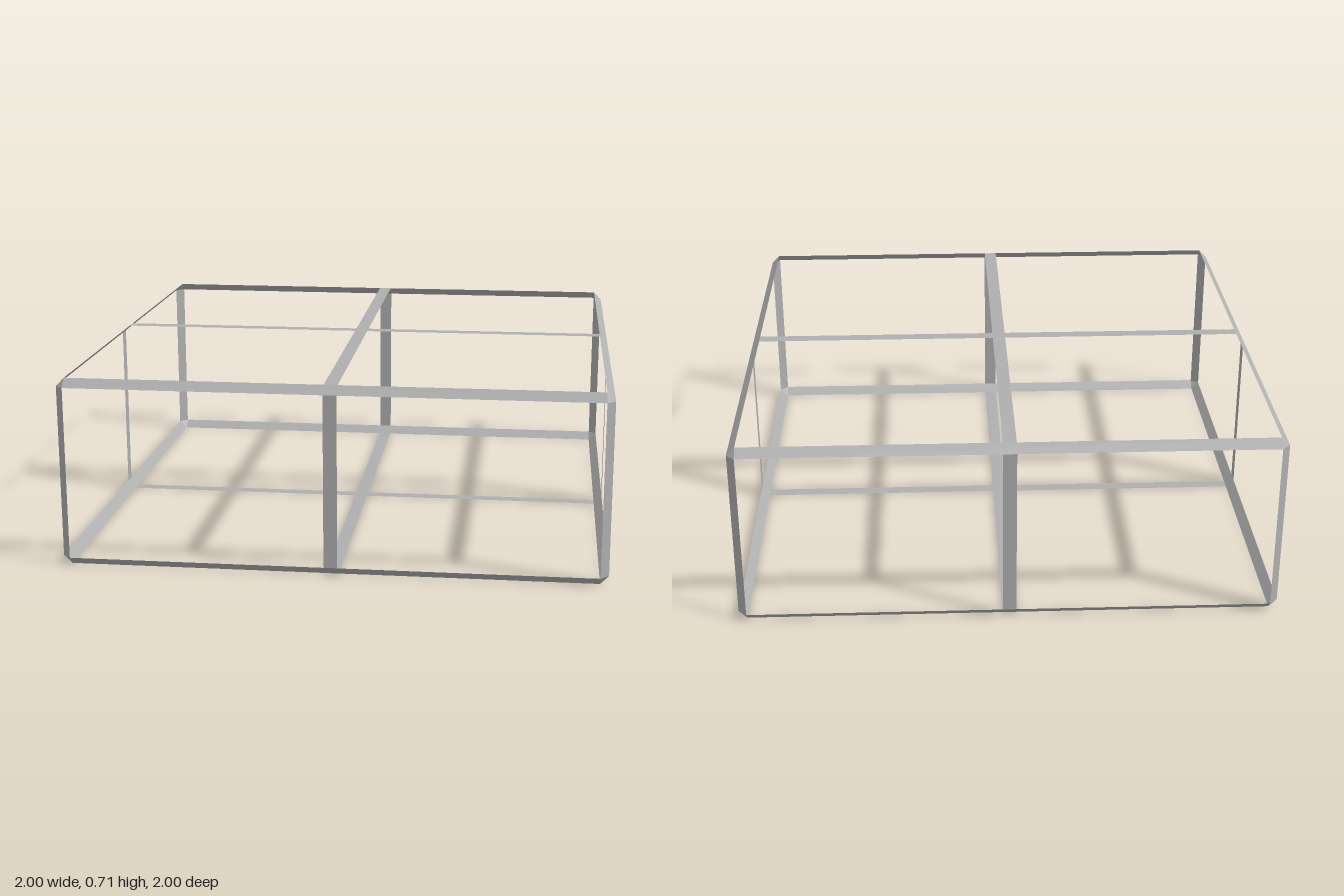
import * as THREE from 'three';

const HALF = [1, 0.353, 1];   // half extents of the frame
const C = 0.031;              // bevel cut at every edge
const W = 0.025;              // half width of the centre strips
const material = new THREE.MeshStandardMaterial({ color: 0xafafaf, side: THREE.DoubleSide, flatShading: true });

// Flat convex panel through the given corners, wound to face outward
function panel(group, name, corners) {
  const pts = corners.map(p => new THREE.Vector3(...p));
  const normal = new THREE.Triangle(pts[0], pts[1], pts[2]).getNormal(new THREE.Vector3());
  const centre = pts.reduce((s, p) => s.add(p), new THREE.Vector3());
  if (normal.dot(centre) < 0) pts.reverse();
  const geometry = new THREE.BufferGeometry().setFromPoints(pts);
  geometry.setIndex(pts.length === 3 ? [0, 1, 2] : [0, 1, 2, 0, 2, 3]);
  geometry.computeVertexNormals();
  const mesh = new THREE.Mesh(geometry, material);
  mesh.name = name;
  group.add(mesh);
}

// Point given by its coordinates along three named axes
function point(a, va, b, vb, c, vc) {
  const p = [0, 0, 0];
  p[a] = va; p[b] = vb; p[c] = vc;
  return p;
}

export function createModel() {
  const model = new THREE.Group();
  model.name = 'boxFrame';
  const frame = new THREE.Group();
  frame.name = 'frameStrips';
  frame.position.y = HALF[1];
  model.add(frame);
  const signs = [-1, 1];
  const inner = HALF.map(h => h - C);

  // Twelve bevelled edge strips, four along each axis
  for (let a = 0; a < 3; a++) {
    const b = (a + 1) % 3, c = (a + 2) % 3;
    for (const sb of signs) for (const sc of signs) {
      panel(frame, a === 1 ? 'cornerPost' : 'edgeRail', [
        point(a, -inner[a], b, sb * HALF[b], c, sc * inner[c]),
        point(a, inner[a], b, sb * HALF[b], c, sc * inner[c]),
        point(a, inner[a], b, sb * inner[b], c, sc * HALF[c]),
        point(a, -inner[a], b, sb * inner[b], c, sc * HALF[c]),
      ]);
    }
  }

  // Eight triangular corner facets
  for (const x of signs) for (const y of signs) for (const z of signs) {
    panel(frame, 'cornerFacet', [0, 1, 2].map(k =>
      [x, y, z].map((s, i) => s * (i === k ? HALF[i] : inner[i]))));
  }

  // Centre strip on face n (side s), running along axis a from lo to hi
  const strip = (name, n, s, a, lo, hi) => {
    const w = 3 - n - a, d = s * HALF[n];
    panel(frame, name, [
      point(n, d, a, lo, w, -W), point(n, d, a, hi, w, -W),
      point(n, d, a, hi, w, W), point(n, d, a, lo, w, W),
    ]);
  };
  for (const s of signs) {
    // Upright in the middle of each side
    strip('sideUpright', 0, s, 1, -inner[1], inner[1]);
    strip('sideUpright', 2, s, 1, -inner[1], inner[1]);
    // Cross on the top and on the bottom
    strip('crossBar', 1, s, 0, -inner[0], inner[0]);
    strip('crossArm', 1, s, 2, -inner[2], -W);
    strip('crossArm', 1, s, 2, W, inner[2]);
  }
  return model;
}
